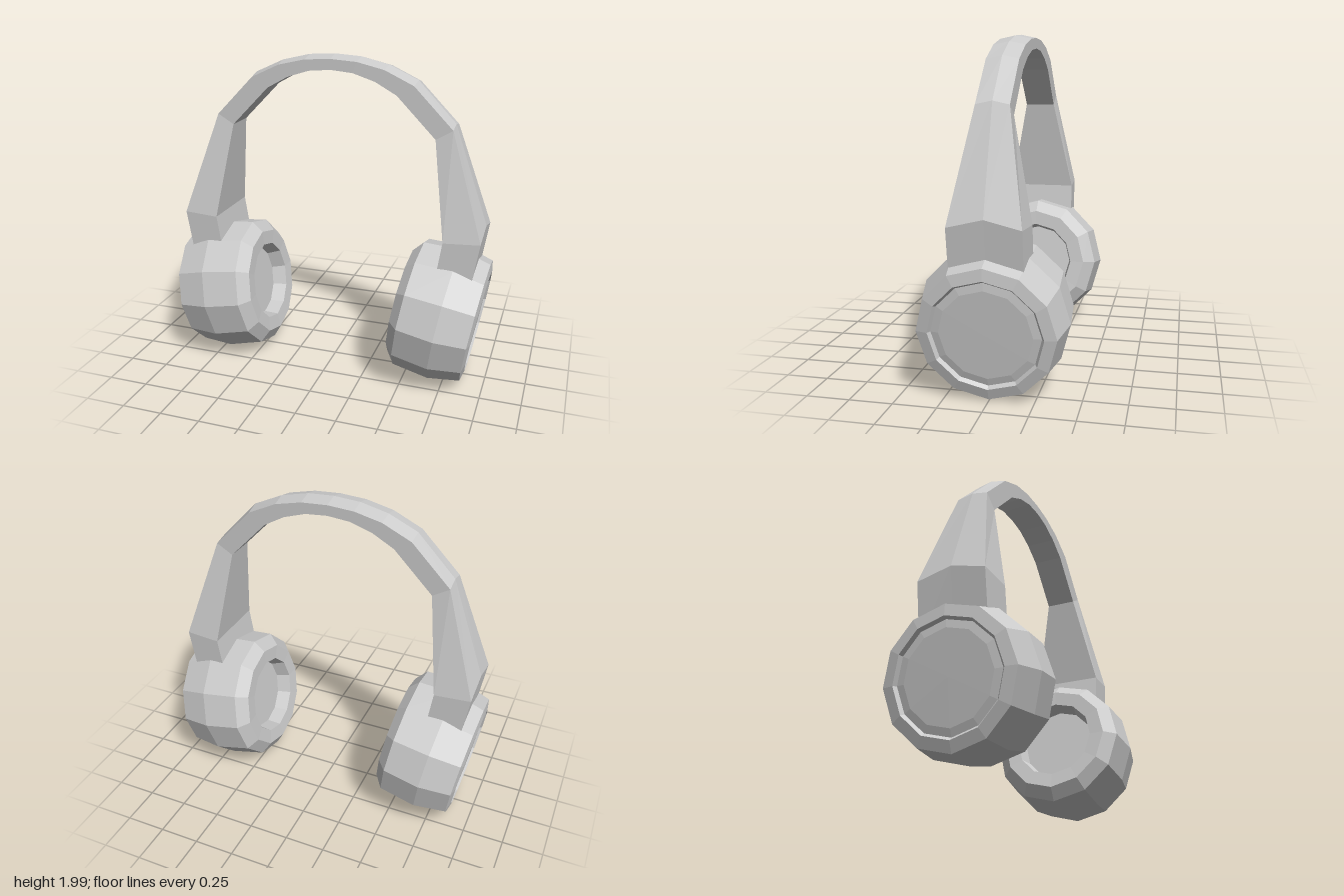
import * as THREE from 'three';

const material = new THREE.MeshStandardMaterial({ color: 0xcccccc, flatShading: true, side: THREE.DoubleSide });

// Headband: loft of five-sided sections with a ridge along the outside
function headbandGeometry() {
  // ridge x, y | outer edge x, y, half width | inner edge x, y, half width
  const half = [
    [0.885, 0.62, 0.885, 0.62, 0.205, 0.675, 0.64, 0.215],
    [0.945, 1.03, 0.943, 0.98, 0.205, 0.725, 0.97, 0.215],
    [0.735, 1.63, 0.735, 1.61, 0.095, 0.635, 1.55, 0.095],
    [0.505, 1.87, 0.5, 1.85, 0.095, 0.4, 1.79, 0.095],
    [0.33, 1.95, 0.325, 1.932, 0.095, 0.27, 1.862, 0.095],
    [0.16, 1.99, 0.16, 1.97, 0.095, 0.135, 1.905, 0.095],
    [0, 2, 0, 1.98, 0.095, 0, 1.917, 0.095],
  ];
  const section = ([rx, ry, ox, oy, oz, ix, iy, iz], s) => [
    [s * rx, ry, 0], [s * ox, oy, oz], [s * ix, iy, iz], [s * ix, iy, -iz], [s * ox, oy, -oz],
  ];
  const rings = [
    ...half.map((r) => section(r, 1)),
    ...half.slice(0, -1).reverse().map((r) => section(r, -1)),
  ];
  const n = 5;
  const index = [];
  for (let i = 0; i < rings.length - 1; i++) {
    for (let j = 0; j < n; j++) {
      const a = i * n + j, b = i * n + (j + 1) % n;
      index.push(a, a + n, b, b, a + n, b + n);
    }
  }
  // End caps, inside the cups
  const last = (rings.length - 1) * n;
  for (let j = 1; j < n - 1; j++) {
    index.push(0, j, j + 1, last, last + j + 1, last + j);
  }
  // Orient all faces outward
  for (let k = 0; k < index.length; k += 3) {
    [index[k + 1], index[k + 2]] = [index[k + 2], index[k + 1]];
  }
  const g = new THREE.BufferGeometry();
  g.setAttribute('position', new THREE.Float32BufferAttribute(rings.flat(2), 3));
  g.setIndex(index);
  const flat = g.toNonIndexed();
  flat.computeVertexNormals();
  // Flip the winding if the top faces downward
  return flat;
}

// Ear cup profile: radius and distance along the cup axis, from the ear side outward
function earCupGeometry() {
  const profile = [
    [0, -0.19], [0.23, -0.19], [0.25, -0.28], // recess for the ear
    [0.34, -0.286], [0.412, -0.228], [0.43, 0], [0.387, 0.193], // cushion and shell
    [0.32, 0.207], [0.305, 0.186], [0.26, 0.194], [0, 0.196], // rim and inset outer panel
  ];
  return new THREE.LatheGeometry(profile.map(([r, y]) => new THREE.Vector2(r, y)), 12);
}

export function createModel() {
  const model = new THREE.Group();
  model.name = 'headphones';

  const band = new THREE.Mesh(headbandGeometry(), material);
  band.name = 'headband';
  model.add(band);

  // The same tilted cup on both sides, turned half round for the right
  const cupGeometry = earCupGeometry();
  for (const [name, turn] of [['leftEarCup', 0], ['rightEarCup', Math.PI]]) {
    const side = new THREE.Group();
    side.name = name;
    side.rotation.y = turn;
    const cup = new THREE.Mesh(cupGeometry, material);
    cup.name = name + 'Shell';
    cup.position.set(0.731, 0.434, 0);
    cup.rotation.z = -THREE.MathUtils.degToRad(99.5);
    side.add(cup);
    model.add(side);
  }
  return model;
}
